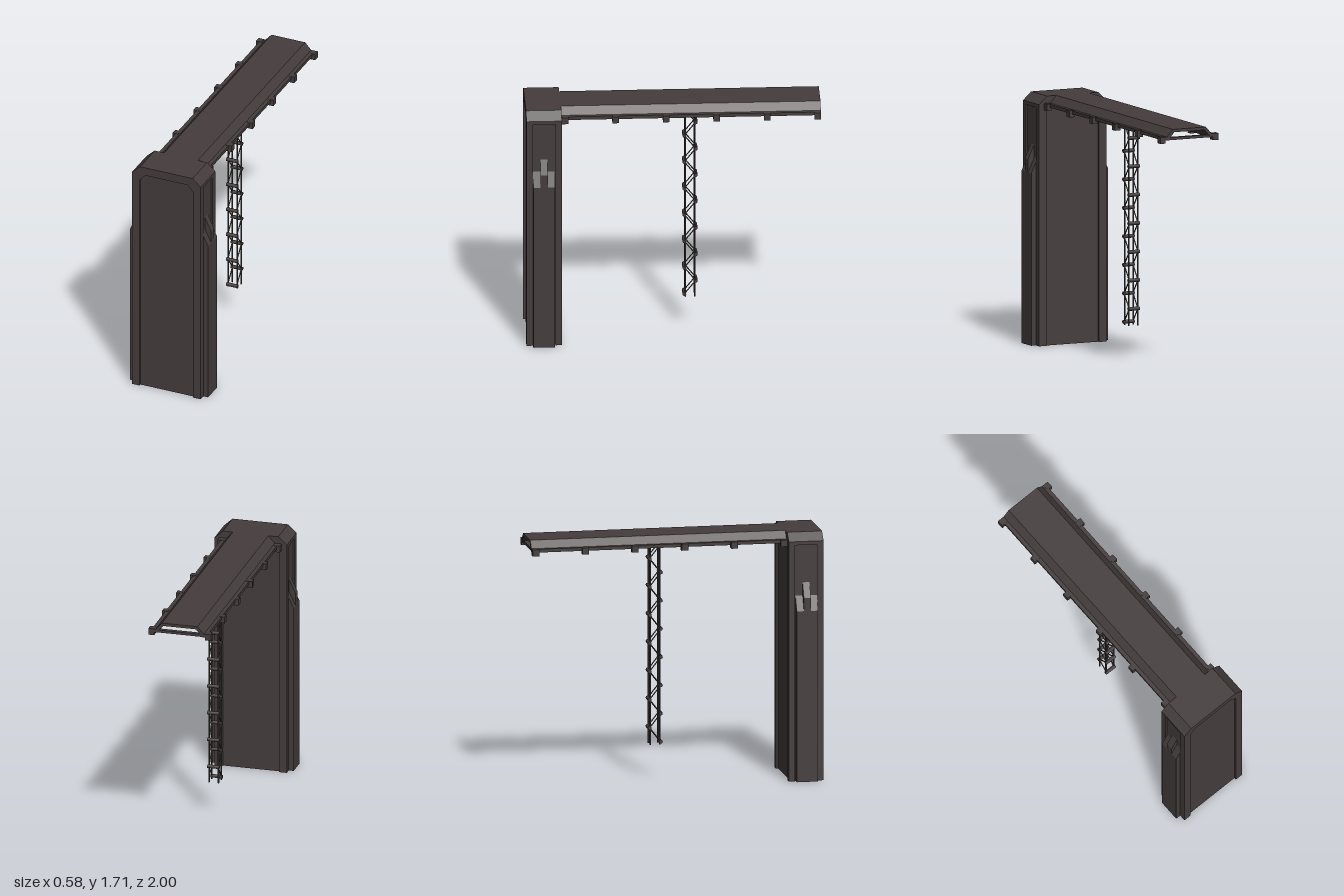
import * as THREE from 'three';

const steel = new THREE.MeshStandardMaterial({ color: 0x453d3d });
steel.name = 'dark steel';

export function createModel() {
  const model = new THREE.Group();
  model.name = 'gantry';

  const add = (parent, name, geometry) => {
    const mesh = new THREE.Mesh(geometry, steel);
    mesh.name = name;
    parent.add(mesh);
    return mesh;
  };
  const group = (name) => {
    const g = new THREE.Group();
    g.name = name;
    model.add(g);
    return g;
  };
  const box = (parent, name, size, pos) => {
    const mesh = add(parent, name, new THREE.BoxGeometry(...size));
    mesh.position.set(...pos);
    return mesh;
  };
  // Closed outline in x/y, extruded from z0 to z1
  const prism = (parent, name, points, z0, z1) => {
    const shape = new THREE.Shape(points.map(([x, y]) => new THREE.Vector2(x, y)));
    const geometry = new THREE.ExtrudeGeometry(shape, { depth: z1 - z0, bevelEnabled: false });
    geometry.translate(0, 0, z0);
    return add(parent, name, geometry);
  };
  // Adds the mirrored other half of an outline
  const mirrored = (half) => [...half, ...half.map(([x, y]) => [-x, y]).reverse()];

  // Tower: core, raised front and back frames, chamfered cap
  const tower = group('tower');
  prism(tower, 'towerCore', mirrored([[0.243, 0], [0.243, 1.65], [0.195, 1.69]]), 0.775, 0.985);
  prism(tower, 'towerCap', mirrored([[0.255, 1.63], [0.255, 1.655], [0.195, 1.71]]), 0.775, 0.985);
  const frame = mirrored([
    [0.155, 1.65], [0.2, 1.605], [0.2, 0], [0.255, 0], [0.255, 1.655], [0.195, 1.71],
  ]);
  prism(tower, 'frontFrame', frame, 0.955, 1);
  prism(tower, 'backFrame', frame, 0.76, 0.803);

  // Side ribs with sloped tops, the middle one taller
  const ribs = [[0.808, 0.857, 1.18], [0.857, 0.905, 1.27], [0.905, 0.955, 1.18]];
  for (const side of [-1, 1]) {
    for (const [z0, z1, top] of ribs) {
      const points = [[0.235, 0], [0.29, 0], [0.29, top], [0.243, top + 0.1], [0.235, top + 0.1]];
      prism(tower, 'sideRib', points.map(([x, y]) => [side * x, y]), z0, z1);
    }
  }

  // Deck: hollow channel with sloped shoulders and side flanges
  const deck = group('deck');
  prism(deck, 'deckChannel', mirrored([
    [0.115, 1.69], [0.16, 1.637], [0.197, 1.637], [0.197, 1.66], [0.17, 1.66], [0.125, 1.71],
  ]), -1, 0.77);

  // Cross beams below the deck with a clamp at each end
  for (let i = 0; i < 6; i++) {
    const z = 0.735 - i * 0.3425;
    box(deck, 'crossBeam', [0.36, 0.018, 0.03], [0, 1.645, z]);
    for (const side of [-1, 1]) {
      box(deck, 'clamp', [0.04, 0.046, 0.045], [side * 0.2, 1.639, z]);
    }
  }

  // Hanging lattice mast: four rods, zigzag braces and rungs
  const mast = group('hangingMast');
  const halfX = 0.033, zFront = -0.087, zBack = -0.152;
  const strut = (name, from, to, radius) => {
    const a = new THREE.Vector3(...from), b = new THREE.Vector3(...to);
    const dir = b.clone().sub(a);
    const mesh = add(mast, name, new THREE.CylinderGeometry(radius, radius, dir.length(), 8));
    mesh.position.copy(a).add(b).multiplyScalar(0.5);
    mesh.quaternion.setFromUnitVectors(new THREE.Vector3(0, 1, 0), dir.normalize());
  };
  for (const x of [-halfX, halfX]) {
    for (const z of [zFront, zBack]) strut('mastRod', [x, 0.245, z], [x, 1.692, z], 0.0055);
  }
  const nodes = [];
  for (let i = 0; i < 15; i++) nodes.push([1.63 - i * 0.0975, i % 2 ? zBack - 0.006 : zFront + 0.006]);
  nodes.forEach(([y, z], i) => {
    strut('rung', [-halfX - 0.009, y, z], [halfX + 0.009, y, z], 0.013);
    if (i === 0) return;
    const [py, pz] = nodes[i - 1];
    for (const x of [-halfX, halfX]) strut('brace', [x, py, pz], [x, y, z], 0.004);
  });

  return model;
}
